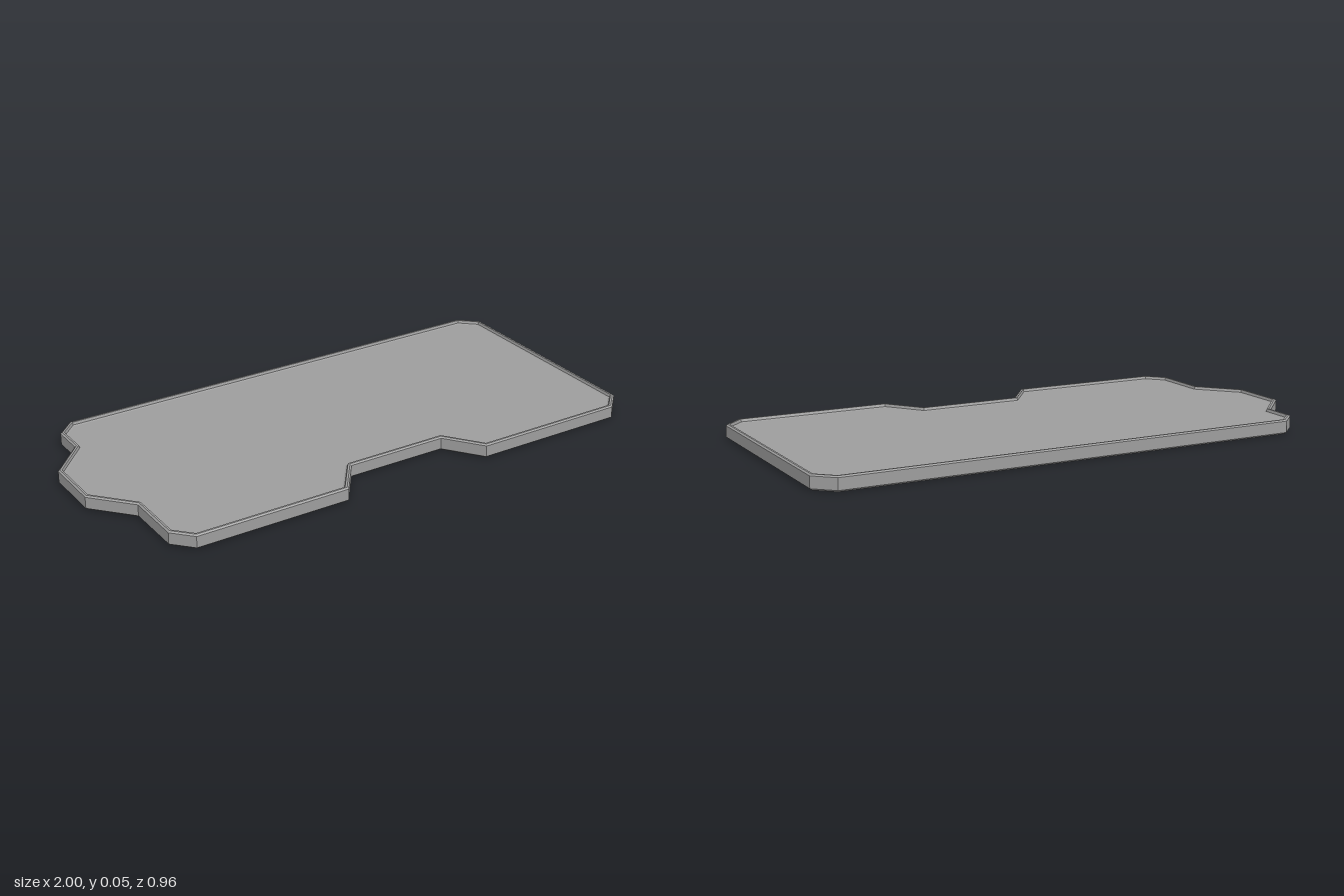
import * as THREE from 'three';

// Panel outline as [x, z], clockwise seen from above
const OUTLINE = [
  [-0.81, -0.48], [0.93, -0.48], [1, -0.415], [1, 0.41], [0.93, 0.48],
  [0.35, 0.48], [0.25, 0.345], [-0.13, 0.345], [-0.23, 0.48], [-0.81, 0.48],
  [-0.875, 0.41], [-0.875, 0.195], [-1, 0.055], [-1, -0.16],
  [-0.875, -0.295], [-0.875, -0.415],
].map(([x, z]) => new THREE.Vector2(x, z));

// Rim cross-section as [inset, y], from the upper floor over the lip to the underside
const RIM = [
  [0.022, 0.041], [0.016, 0.044], [0.013, 0.054], [0.006, 0.054], [0, 0.049],
  [0, 0.007], [0.009, 0], [0.015, 0], [0.022, 0.021],
];

// Mitred inset of the outline
function inset(d) {
  const n = OUTLINE.length;
  const inward = (a, b) => new THREE.Vector2(a.y - b.y, b.x - a.x).normalize();
  return OUTLINE.map((p, i) => {
    const n1 = inward(OUTLINE[(i + n - 1) % n], p);
    const n2 = inward(p, OUTLINE[(i + 1) % n]);
    return n1.clone().add(n2).multiplyScalar(d / (1 + n1.dot(n2))).add(p);
  });
}

// Sweep the cross-section around the outline
function rimGeometry() {
  const loops = RIM.map(([d, y]) => inset(d).map((p) => [p.x, y, p.y]));
  const pos = [];
  for (let k = 0; k < loops.length - 1; k++) {
    for (let i = 0; i < OUTLINE.length; i++) {
      const j = (i + 1) % OUTLINE.length;
      const a = loops[k][i], b = loops[k][j];
      const c = loops[k + 1][i], d = loops[k + 1][j];
      pos.push(...a, ...b, ...c, ...b, ...d, ...c);
    }
  }
  const g = new THREE.BufferGeometry();
  g.setAttribute('position', new THREE.Float32BufferAttribute(pos, 3));
  g.computeVertexNormals();
  return g;
}

// Flat recessed face; side is 1 for the top, -1 for the underside
function faceGeometry([d, y], side) {
  const shape = new THREE.Shape(inset(d).map((p) => new THREE.Vector2(p.x, -side * p.y)));
  return new THREE.ShapeGeometry(shape).rotateX(-side * Math.PI / 2).translate(0, y, 0);
}

export function createModel() {
  const group = new THREE.Group();
  group.name = 'panel';
  const material = new THREE.MeshStandardMaterial({ color: 0x9d9d9d, flatShading: true });
  const add = (name, geometry) => {
    const mesh = new THREE.Mesh(geometry, material);
    mesh.name = name;
    group.add(mesh);
  };
  add('rim', rimGeometry());
  add('topFace', faceGeometry(RIM[0], 1));
  add('underside', faceGeometry(RIM[RIM.length - 1], -1));
  return group;
}
